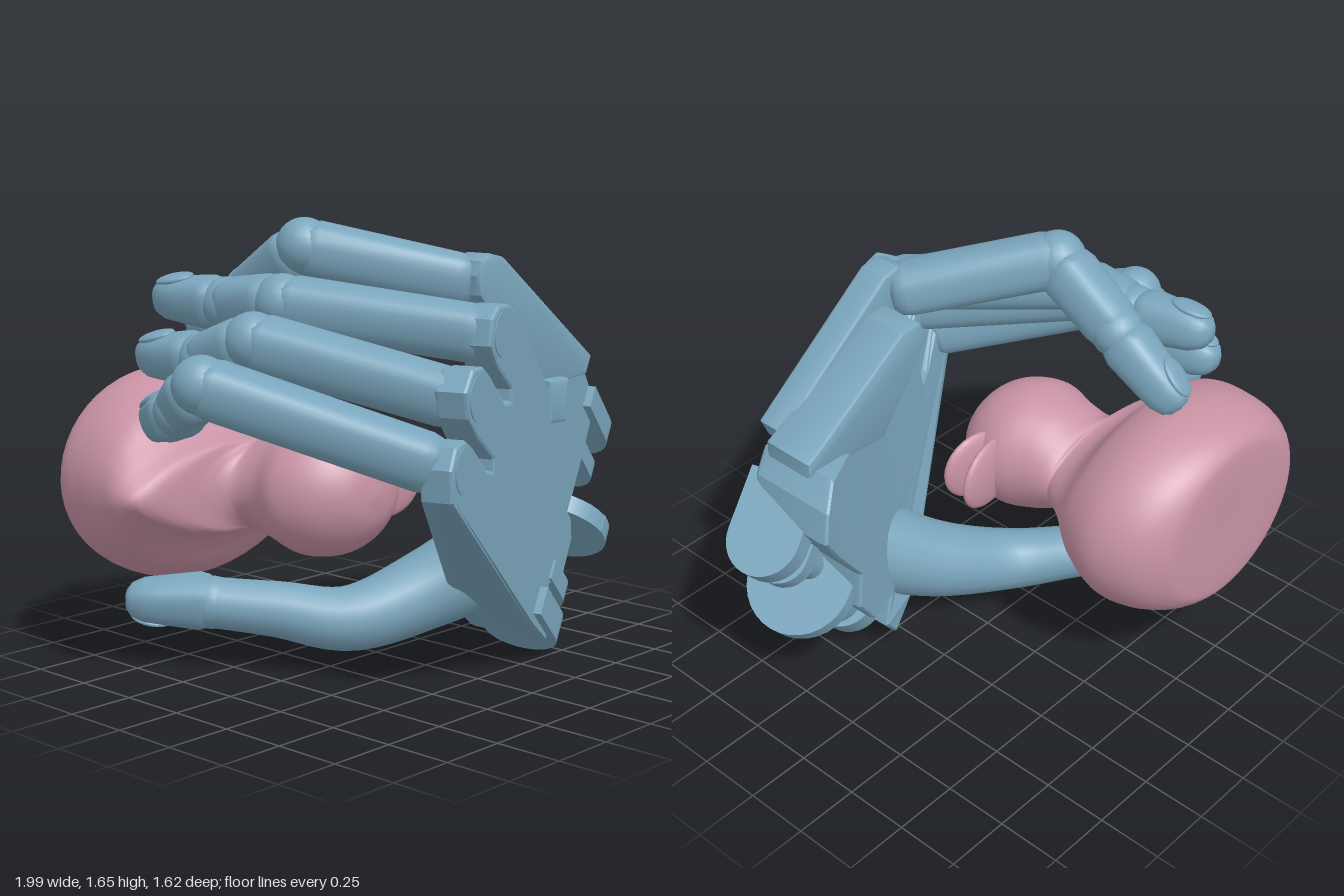
import * as THREE from 'three';
import { mergeVertices, toCreasedNormals } from 'three/addons/utils/BufferGeometryUtils.js';
import { ParametricGeometry } from 'three/addons/geometries/ParametricGeometry.js';

const blue = new THREE.MeshStandardMaterial({ color: 0x7aa5bc });
const pink = new THREE.MeshStandardMaterial({ color: 0xc893a5 });
const V = (p) => new THREE.Vector3(...p);

function add(parent, geo, name, mat = blue) {
  const mesh = new THREE.Mesh(geo, mat);
  mesh.name = name;
  parent.add(mesh);
  return mesh;
}

// Drop seams and recompute smooth normals
function smooth(geo) {
  geo.deleteAttribute('uv');
  geo.deleteAttribute('normal');
  const g = mergeVertices(geo, 1e-4);
  g.computeVertexNormals();
  return g;
}

// Extruded outline in x-y, running backwards from z = front
function slab(outline, front, depth, bevel = 0.012) {
  const shape = new THREE.Shape(outline.map(([x, y]) => new THREE.Vector2(x, y)));
  const geo = new THREE.ExtrudeGeometry(shape, {
    depth: depth - 2 * bevel, bevelThickness: bevel, bevelSize: bevel, bevelOffset: -bevel, bevelSegments: 2,
  });
  return geo.translate(0, 0, front - depth + bevel);
}

// Frame with y along a->b and z towards the back of the finger
function frame(a, b, back) {
  const y = b.clone().sub(a).normalize();
  const z = back.clone().addScaledVector(y, -back.dot(y)).normalize();
  const x = new THREE.Vector3().crossVectors(y, z);
  return new THREE.Matrix4().makeBasis(x, y, z).setPosition(a);
}

// Softly squared finger segment; a tip segment gets a long dome and a nail
function segment(parent, a, b, r0, r1, back, name, tip = false) {
  const L = a.distanceTo(b);
  const end = tip
    ? [[r1, L - 0.13], [r1 * 0.92, L - 0.07], [r1 * 0.7, L - 0.025], [r1 * 0.4, L - 0.005], [0, L]]
    : [[r1, L - 0.06], [r1 * 0.92, L - 0.025], [r1 * 0.7, L], [0, L + 0.01]];
  const profile = [[0, -0.01], [r0 * 0.7, 0], [r0 * 0.92, 0.025], [r0, 0.06], ...end];
  const geo = new THREE.LatheGeometry(profile.map(([x, y]) => new THREE.Vector2(x, y)), 24);
  const p = geo.attributes.position;
  for (let i = 0; i < p.count; i++) {
    const x = p.getX(i), z = p.getZ(i), r = Math.hypot(x, z);
    if (r < 1e-6) continue;
    const k = 1 / Math.pow((x / r) ** 4 + (z / r) ** 4, 0.14);
    p.setX(i, x * k * 0.94);
    p.setZ(i, z * k * 0.94);
  }
  const g = new THREE.Group();
  g.name = name;
  g.applyMatrix4(frame(a, b, back));
  add(g, smooth(geo), name + 'Shell');
  if (tip) {
    const nail = add(g, new THREE.SphereGeometry(1, 16, 10), 'nail');
    nail.scale.set(r1 * 0.65, 0.08, 0.018);
    nail.position.set(0, L - 0.095, r1 * 0.85);
    nail.rotation.x = -0.18;
  }
  parent.add(g);
}

function finger(parent, name, points, radii, back) {
  const g = new THREE.Group();
  g.name = name;
  const pts = points.map(V), n = pts.length - 1, bk = V(back);
  for (let i = 0; i < n; i++) {
    const dir = pts[i + 1].clone().sub(pts[i]).normalize();
    const a = pts[i].clone().addScaledVector(dir, i ? 0.015 : -0.03);
    const b = pts[i + 1].clone().addScaledVector(dir, i < n - 1 ? 0.015 : 0);
    segment(g, a, b, radii[i], radii[i + 1], bk, ['proximal', 'middle', 'tip'][i], i === n - 1);
    if (i) add(g, new THREE.SphereGeometry(radii[i] * 0.97, 20, 14), 'joint').position.copy(pts[i]);
  }
  parent.add(g);
}

function buildPalm() {
  const palm = new THREE.Group();
  palm.name = 'palm';
  palm.position.set(0, 0, 0.65);
  palm.rotation.y = 0.3;
  const sx = ([x, y]) => [x / 0.955, y];

  // plate with three knuckle lobes and narrow slots, growing thicker towards the wrist
  const outline = [
    [0.2, 0.18], [0.34, 0.08], [0.41, 0.17], [0.37, 0.29], [0.5, 0.28], [0.6, 0.42], [0.58, 0.56], [0.73, 0.76],
    [0.8, 0.87], [0.77, 0.98], [0.7, 1.06], [0.47, 1.06], [0.35, 1.03], [0.06, 1.31], [0.01, 1.35], [-0.05, 1.38],
    [-0.13, 1.38], [-0.19, 1.34], [-0.2, 1.25], [-0.14, 1.17], [-0.02, 1.08], [-0.02, 1.04], [-0.07, 1.04],
    [-0.2, 1.15], [-0.26, 1.19], [-0.34, 1.19], [-0.4, 1.12], [-0.38, 1.03], [-0.3, 0.95], [-0.17, 0.86],
    [-0.17, 0.82], [-0.22, 0.83], [-0.34, 0.93], [-0.4, 0.965], [-0.47, 0.95], [-0.51, 0.88], [-0.5, 0.77],
  ].map(sx).reverse();
  const geo = slab(outline, 0, 0.12);
  const p = geo.attributes.position;
  for (let i = 0; i < p.count; i++) {
    const s = p.getX(i) * 0.735 - p.getY(i) * 0.63;
    const t = THREE.MathUtils.clamp((s + 0.85) / 0.85, 0, 1);
    const z = p.getZ(i) * THREE.MathUtils.lerp(1, 3, t);
    p.setXYZ(i, p.getX(i) - z * 0.31 * t, p.getY(i), z);
  }
  add(palm, toCreasedNormals(geo, 0.35), 'palmPlate');

  // knuckle discs
  for (const c of [[-0.41, 0.865], [-0.3, 1.09], [-0.1, 1.28]]) {
    const [x, y] = sx(c);
    const disc = add(palm, new THREE.CylinderGeometry(0.08, 0.08, 0.12, 28), 'knuckleDisc');
    disc.rotation.x = Math.PI / 2;
    disc.position.set(x, y, -0.056);
  }

  // wrist lugs on a shared axle: x, y, radius, width, root length
  const wrist = new THREE.Group();
  wrist.name = 'wristHinge';
  wrist.rotation.z = -0.69;
  palm.add(wrist);
  const axis = new THREE.Vector3(0, 0, 1);
  const local = (x, y, z) => new THREE.Vector3(x / 0.955, y, z).applyAxisAngle(axis, 0.69);
  const lugs = [
    [0.39, 0.14, 0.14, 0.11, 0.2], [0.5, 0.25, 0.12, 0.08, 0.16], [0.69, 0.45, 0.21, 0.07, 0.04],
    [0.8, 0.66, 0.11, 0.07, 0.14], [0.89, 0.8, 0.14, 0.09, 0.24],
  ];
  for (const [x, y, r, w, root] of lugs) {
    const c = local(x, y, -0.11);
    add(wrist, new THREE.CylinderGeometry(r, r, w, 32), 'wristLug').position.copy(c);
    add(wrist, new THREE.BoxGeometry(root, w, r * 2), 'lugRoot').position.set(c.x - root / 2, c.y, c.z);
  }
  add(wrist, new THREE.CylinderGeometry(0.055, 0.055, 0.8, 20), 'wristAxle').position.copy(local(0.61, 0.45, -0.13));
  return palm;
}

function buildDuck() {
  const duck = new THREE.Group();
  duck.name = 'toyDuck';
  // sections from flat base to crown: z, x min, x max, half width, tail pinch
  const rows = [
    [-0.81, -0.42, -0.42, 0, 0], [-0.81, -0.7, -0.16, 0.27, 0], [-0.79, -0.83, -0.06, 0.335, 0],
    [-0.7, -0.92, 0.04, 0.385, 0], [-0.55, -0.96, 0.085, 0.4, 0], [-0.4, -0.985, 0.03, 0.34, 0],
    [-0.3, -0.995, -0.05, 0.22, 0.1], [-0.22, -0.96, -0.1, 0.17, 0.4], [-0.17, -0.6, -0.11, 0.175, 0.1],
    [-0.08, -0.57, -0.09, 0.22, 0], [0.05, -0.6, -0.05, 0.25, 0], [0.18, -0.55, -0.09, 0.215, 0],
    [0.27, -0.45, -0.18, 0.12, 0], [0.3, -0.32, -0.32, 0, 0],
  ];
  const spans = new THREE.CatmullRomCurve3(rows.map((r) => new THREE.Vector3(r[0], r[1], r[2])));
  const widths = new THREE.CatmullRomCurve3(rows.map((r) => new THREE.Vector3(r[3], r[4], r[0])));
  const s = new THREE.Vector3(), w = new THREE.Vector3();
  const body = new ParametricGeometry((u, v, out) => {
    spans.getPoint(v, s);
    widths.getPoint(v, w);
    const c = Math.cos(u * Math.PI * 2), n = Math.sin(u * Math.PI * 2);
    out.set((s.y + s.z) / 2 + c * (s.z - s.y) / 2, 0.7 + w.x * n * (1 - w.y * Math.max(0, -c) ** 2), s.x);
  }, 48, 65);
  add(duck, smooth(body), 'duckBody', pink);

  // flared bill
  for (const [z, tilt, len, name] of [[0.05, 0.12, 0.17, 'lowerBill'], [0.12, -0.2, 0.15, 'upperBill']]) {
    const bill = add(duck, new THREE.SphereGeometry(1, 24, 14), name, pink);
    bill.scale.set(len, 0.14, 0.035);
    bill.position.set(-0.07, 0.7, z);
    bill.rotation.y = tilt;
  }
  return duck;
}

// Side block carrying the index finger: front tongue, shorter rear body and a tab on the palm
function buildIndexBlock() {
  const g = new THREE.Group();
  g.name = 'indexBlock';
  const tongue = [
    [0.64, 1.05], [0.67, 1.12], [0.14, 1.52], [0.07, 1.535], [0.02, 1.51], [0.0, 1.46], [0.01, 1.39], [0.35, 1.02],
  ];
  const body = [[0.72, 1.04], [0.72, 1.1], [0.68, 1.12], [0.24, 1.41], [0.15, 1.41], [0.12, 1.33], [0.35, 1.02]];
  const tab = [[0.34, 1.06], [0.34, 0.9], [0.45, 0.9], [0.46, 1.06]];
  for (const [outline, front, depth, name] of [
    [tongue, 0.49, 0.13, 'tongue'], [body, 0.4, 0.22, 'rearBody'], [tab, 0.545, 0.2, 'tab'],
  ]) add(g, toCreasedNormals(slab(outline, front, depth, 0.015), 0.5), name);
  return g;
}

export function createModel() {
  const model = new THREE.Group();
  model.name = 'handHoldingDuck';
  model.add(buildPalm(), buildDuck(), buildIndexBlock());

  // four curled fingers
  const back = [-0.25, 1, -0.1];
  const r = [0.105, 0.107, 0.1, 0.088];
  finger(model, 'littleFinger', [[-0.46, 0.88, 0.68], [-0.89, 1.125, 0.03], [-0.85, 1.02, -0.12], [-0.77, 0.94, -0.36]], r, back);
  finger(model, 'ringFinger', [[-0.32, 1.08, 0.65], [-0.64, 1.25, 0.02], [-0.65, 1.17, -0.22], [-0.67, 1.16, -0.53]], r, back);
  finger(model, 'middleFinger', [[-0.14, 1.28, 0.6], [-0.49, 1.37, 0.01], [-0.5, 1.35, -0.26], [-0.55, 1.36, -0.58]], r, back);
  finger(model, 'indexFinger', [[0.05, 1.43, 0.38], [-0.33, 1.555, -0.04], [-0.32, 1.38, -0.33], [-0.33, 1.17, -0.62]], r, back);

  // thumb: tapering tube, ball joint and tip
  const path = new THREE.CatmullRomCurve3(
    [[0.32, 0.42, 0.36], [0.08, 0.28, 0.2], [-0.2, 0.19, 0.05], [-0.38, 0.225, -0.14], [-0.54, 0.25, -0.32]].map(V));
  const tube = new THREE.TubeGeometry(path, 24, 1, 18);
  const p = tube.attributes.position, q = new THREE.Vector3();
  for (let i = 0; i < p.count; i++) {
    const t = Math.floor(i / 19) / 24, c = path.getPointAt(t);
    q.fromBufferAttribute(p, i).sub(c).multiplyScalar(0.095 + 0.09 * (1 - t) ** 1.5).add(c);
    p.setXYZ(i, q.x, q.y, q.z);
  }
  const thumb = new THREE.Group();
  thumb.name = 'thumb';
  add(thumb, smooth(tube), 'thumbBase');
  add(thumb, new THREE.SphereGeometry(0.098, 20, 14), 'thumbJoint').position.set(-0.54, 0.25, -0.32);
  segment(thumb, V([-0.53, 0.255, -0.31]), V([-0.75, 0.26, -0.56]), 0.107, 0.09, V([0.2, -1, -0.2]), 'thumbTip', true);
  model.add(thumb);
  return model;
}
